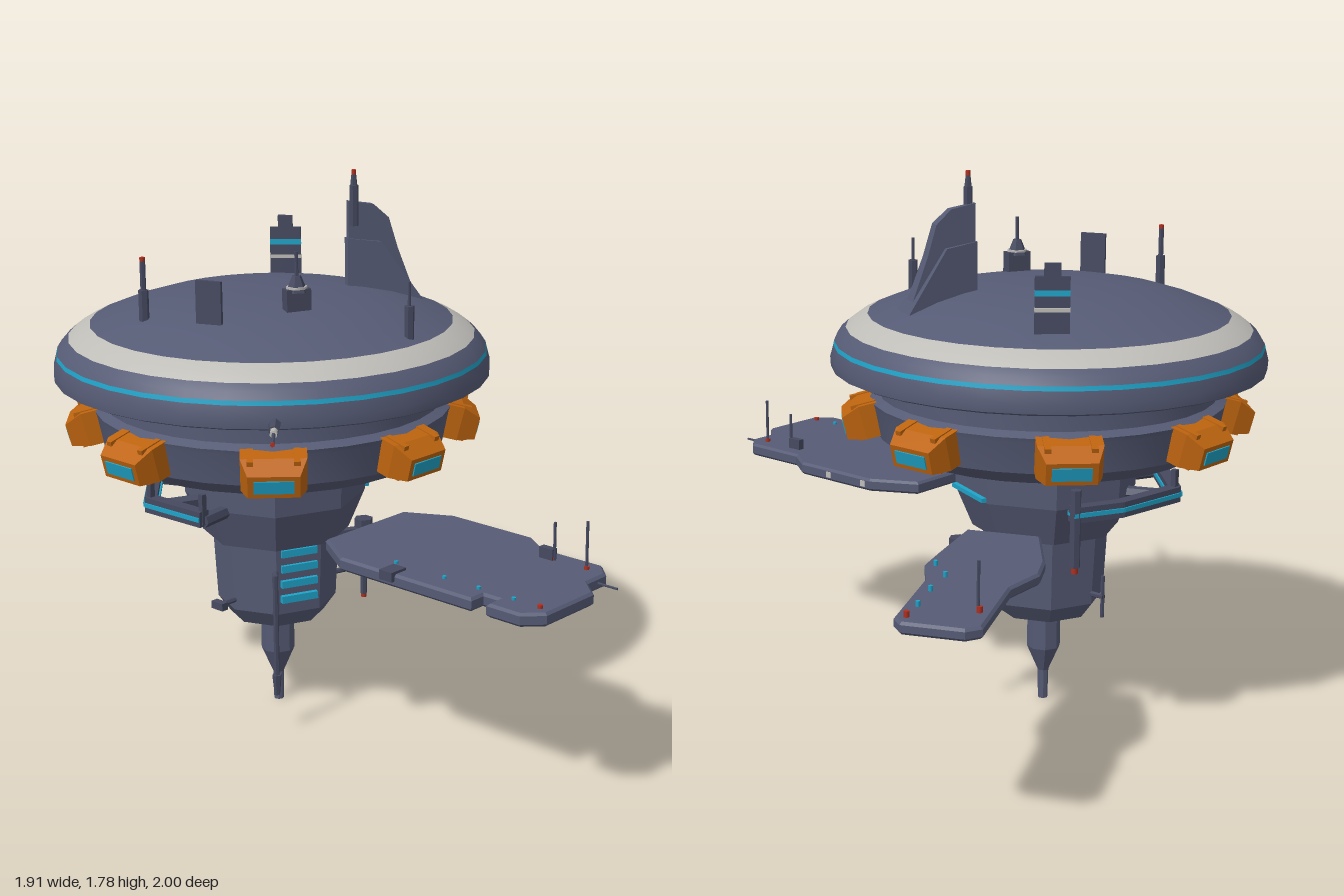
import * as THREE from 'three';
import { toCreasedNormals } from 'three/addons/utils/BufferGeometryUtils.js';

const mat = (color, flat = false) => new THREE.MeshStandardMaterial({ color, flatShading: flat, side: THREE.DoubleSide });
const hull = mat(0x565b75), facet = mat(0x565b75, true), dark = mat(0x464a60, true);
const white = mat(0xbfbdb8), orange = mat(0xbd640f, true), cyan = mat(0x1fa3c8), red = mat(0xb03020);
const CX = -0.26, CZ = -0.3; // station axis

export function createModel() {
  const root = new THREE.Group();
  const add = (name, geo, material, parent = root) => {
    const m = new THREE.Mesh(geo, material);
    m.name = name;
    parent.add(m);
    return m;
  };
  const box = (name, material, [w, h, d], [x, y, z], ry = 0, parent = root) => {
    const m = add(name, new THREE.BoxGeometry(w, h, d), material, parent);
    m.position.set(x, y, z);
    m.rotation.y = ry;
    return m;
  };
  // straight bar between two points
  const bar = (name, material, a, b, r0, r1 = r0, sides = 6) => {
    const p = new THREE.Vector3(...a), q = new THREE.Vector3(...b);
    const m = add(name, new THREE.CylinderGeometry(r1, r0, p.distanceTo(q), sides), material);
    m.position.copy(p).add(q).multiplyScalar(0.5);
    m.quaternion.setFromUnitVectors(new THREE.Vector3(0, 1, 0), q.sub(p).normalize());
    return m;
  };
  const rod = (name, material, x, z, y0, y1, r0, r1 = r0) => bar(name, material, [x, y0, z], [x, y1, z], r0, r1);
  // turned part on the station axis, profile listed bottom to top
  const turned = (name, profile, material, sides, crease = 0.5) => {
    const geo = new THREE.LatheGeometry(profile.map(p => new THREE.Vector2(...p)), sides);
    const m = add(name, toCreasedNormals(geo, crease), material);
    m.position.set(CX, 0, CZ);
    return m;
  };

  // saucer
  turned('saucerRim', [[0.545, 1.13], [0.68, 1.142], [0.698, 1.15], [0.7, 1.18], [0.69, 1.218]], hull, 32);
  turned('lightStripe', [[0.69, 1.218], [0.687, 1.232]], cyan, 32);
  turned('saucerShoulder', [[0.687, 1.232], [0.672, 1.255], [0.65, 1.275]], hull, 32);
  turned('paleBand', [[0.65, 1.275], [0.62, 1.298], [0.58, 1.318]], white, 32);
  turned('dome', [[0.58, 1.318], [0.5, 1.35], [0.4, 1.381], [0.3, 1.401], [0.18, 1.415], [0, 1.42]], hull, 32);
  turned('neck', [[0.545, 1.05], [0.545, 1.115], [0.56, 1.135]], hull, 32);
  turned('podRing', [[0, 0.885], [0.49, 0.885], [0.55, 0.93], [0.57, 1.03], [0.575, 1.045], [0.545, 1.06]], hull, 32);

  // octagonal core and spike
  turned('upperCore', [[0, 0.61], [0.24, 0.61], [0.295, 0.74], [0.3, 0.83], [0.28, 0.89]], facet, 8, 0.1);
  turned('lowerCore', [[0, 0.32], [0.155, 0.32], [0.195, 0.375], [0.207, 0.61]], facet, 8, 0.1);
  turned('spike', [[0, 0], [0.016, 0], [0.018, 0.1], [0.055, 0.185], [0.055, 0.33]], facet, 8, 0.1);

  // eight window pods round the ring
  for (let i = 0; i < 8; i++) {
    const pod = new THREE.Group();
    pod.name = 'windowPod';
    pod.rotation.y = i * Math.PI / 4;
    pod.position.set(CX + 0.6 * Math.sin(pod.rotation.y), 0.982, CZ + 0.6 * Math.cos(pod.rotation.y));
    root.add(pod);
    const tilt = new THREE.Group();
    tilt.rotation.x = 0.25;
    pod.add(tilt);
    const geo = new THREE.BoxGeometry(0.2, 0.11, 0.12, 1, 1, 2);
    const p = geo.attributes.position;
    for (let j = 0; j < p.count; j++) if (p.getZ(j) > 0.05) p.setXY(j, p.getX(j) * 0.78, p.getY(j) * 0.66 - 0.008);
    add('podShell', geo, orange, tilt);
    box('podWindow', cyan, [0.12, 0.042, 0.01], [0, -0.008, 0.059], 0, tilt);
    for (const s of [-1, 1]) box('podRib', orange, [0.02, 0.117, 0.08], [s * 0.07, 0, -0.015], 0, tilt);
  }

  // lit slots and facet light on the core
  const onFacet = (name, angle, dist, y, size) =>
    box(name, cyan, size, [CX + dist * Math.sin(angle), y, CZ + dist * Math.cos(angle)], angle);
  for (let i = 0; i < 4; i++) onFacet('coreSlot', -Math.PI / 8, 0.19, 0.43 + i * 0.052, [0.125, 0.024, 0.02]);
  onFacet('coreLight', Math.PI * 3 / 8, 0.275, 0.75, [0.21, 0.014, 0.03]);

  // walkway with light strip round the back right of the core
  const way = [[0.23, -0.29], [0.08, -0.36], [-0.17, -0.39], [-0.39, -0.17], [-0.38, 0.06]];
  for (let i = 0; i < way.length - 1; i++) {
    const [ax, az] = way[i], [bx, bz] = way[i + 1];
    const ry = Math.atan2(az - bz, bx - ax), len = Math.hypot(bx - ax, bz - az) + 0.012;
    const at = [CX + (ax + bx) / 2, 0.75, CZ + (az + bz) / 2];
    box('walkway', dark, [len, 0.05, 0.04], at, ry);
    box('walkwayLight', cyan, [len, 0.014, 0.05], at, ry);
  }
  for (const [x, z] of [way[2], way[3], way[4]]) {
    box('walkwayPost', dark, [0.018, 0.1, 0.018], [CX + x, 0.78, CZ + z]);
    bar('walkwayStrut', dark, [CX + x * 0.6, 0.74, CZ + z * 0.6], [CX + x, 0.74, CZ + z], 0.022);
  }
  rod('hangingSensor', dark, 0 - 0.03, -0.6, 0.58, 0.83, 0.018);
  rod('sensorTip', red, -0.03, -0.6, 0.56, 0.58, 0.012);

  // landing pads: outline given as [x, z]
  const pad = (name, pts, y, h, material) => {
    const shape = new THREE.Shape(pts.map(([x, z]) => new THREE.Vector2(x, -z)));
    const b = 0.008;
    const geo = new THREE.ExtrudeGeometry(shape, { depth: h - 2 * b, bevelThickness: b, bevelSize: b, bevelOffset: -b, bevelSegments: 1 });
    geo.rotateX(-Math.PI / 2).translate(0, y + b, 0);
    return add(name, geo, material);
  };
  pad('frontPad', [[-0.44, 0.1], [-0.535, 0.25], [-0.535, 0.765], [-0.48, 0.765], [-0.48, 0.82], [-0.535, 0.82], [-0.535, 0.94],
    [-0.48, 0.995], [-0.26, 0.995], [-0.2, 0.93], [-0.11, 0.93], [-0.06, 0.88], [-0.06, 0.66], [0, 0.57], [0, 0.25], [-0.08, 0.1]], 0.668, 0.042, facet);
  pad('frontPadKeel', [[-0.46, 0.29], [-0.46, 0.71], [-0.13, 0.71], [-0.07, 0.55], [-0.07, 0.29]], 0.645, 0.035, dark);
  pad('rearPad', [[0.09, -0.56], [0.275, -0.725], [0.375, -0.785], [0.525, -0.8], [0.825, -0.95], [0.875, -0.93], [0.95, -0.76],
    [0.925, -0.715], [0.62, -0.56], [0.525, -0.47], [0.425, -0.43], [0.185, -0.34]], 0.665, 0.037, facet);
  pad('rearPadKeel', [[0.25, -0.6], [0.38, -0.72], [0.55, -0.74], [0.8, -0.86], [0.86, -0.77], [0.58, -0.61], [0.46, -0.5], [0.3, -0.47]], 0.648, 0.03, dark);
  const lamps = [[-0.46, 0.41], [-0.46, 0.6], [-0.46, 0.73], [-0.46, 0.86], [0.52, -0.51], [0.58, -0.6], [0.7, -0.65], [0.82, -0.71]];
  for (const [x, z] of lamps) rod('padLamp', cyan, x, z, 0.695, 0.718, 0.007);
  for (const [x, z] of [[-0.46, 0.955], [-0.12, 0.74], [-0.12, 0.865], [0.905, -0.745], [0.745, -0.87]])
    rod('padBeacon', red, x, z, 0.695, 0.72, 0.009);
  rod('padMast', dark, -0.12, 0.865, 0.7, 0.86, 0.005);
  rod('padMast', dark, -0.12, 0.745, 0.7, 0.83, 0.005);
  rod('padMast', dark, 0.745, -0.865, 0.69, 0.85, 0.005);
  box('padLocker', dark, [0.022, 0.04, 0.05], [-0.12, 0.725, 0.72]);
  box('padHatch', dark, [0.065, 0.03, 0.05], [-0.515, 0.703, 0.445]);
  bar('padProbe', dark, [-0.15, 0.69, 0.9], [-0.15, 0.69, 1], 0.004);
  for (const z of [0.28, 0.44]) box('padStripe', white, [0.006, 0.02, 0.02], [0, 0.69, z]);

  // dome fin: side profile, its thickness growing outward and downward
  const fin = new THREE.Group();
  fin.name = 'domeFin';
  fin.position.set(-0.025, 0, -0.18);
  fin.rotation.y = -0.46;
  root.add(fin);
  const blade = (name, pts, width) => {
    const geo = new THREE.ExtrudeGeometry(new THREE.Shape(pts.map(p => new THREE.Vector2(...p))), { depth: 1, bevelEnabled: false });
    const p = geo.attributes.position;
    for (let i = 0; i < p.count; i++) p.setZ(i, (p.getZ(i) - 0.5) * width(p.getX(i), p.getY(i)));
    geo.computeVertexNormals();
    add(name, geo, facet, fin);
  };
  blade('finBlade', [[-0.005, 1.36], [-0.005, 1.68], [0.08, 1.665], [0.13, 1.62], [0.16, 1.52], [0.22, 1.36]], (x) => 0.02 + x * 0.13);
  blade('finRoot', [[-0.01, 1.36], [-0.01, 1.56], [0.1, 1.545], [0.235, 1.35]], (x) => 0.032 + x * 0.33);
  rod('finMast', dark, -0.018, -0.165, 1.6, 1.73, 0.015);
  rod('finMast', dark, -0.018, -0.165, 1.73, 1.765, 0.012, 0.008);
  rod('finBeacon', red, -0.018, -0.165, 1.765, 1.78, 0.008);

  // dome aerials and plates
  rod('aerialBase', dark, -0.685, -0.43, 1.34, 1.46, 0.016);
  rod('aerial', dark, -0.685, -0.43, 1.46, 1.55, 0.009);
  rod('aerialBeacon', red, -0.685, -0.43, 1.55, 1.562, 0.009);
  rod('aerialBase', dark, -0.207, 0.238, 1.32, 1.43, 0.016);
  rod('aerial', dark, -0.207, 0.238, 1.43, 1.505, 0.005);
  box('turretBase', dark, [0.08, 0.07, 0.04], [-0.388, 1.435, -0.062], -0.4);
  rod('turretCone', dark, -0.388, -0.062, 1.46, 1.51, 0.035, 0.014);
  rod('turretCollar', white, -0.388, -0.062, 1.47, 1.477, 0.034);
  rod('turretMast', dark, -0.388, -0.062, 1.5, 1.585, 0.006);
  box('domePlate', dark, [0.012, 0.17, 0.085], [-0.635, 1.43, -0.19], 0.35);
  box('rearPlate', dark, [0.015, 0.21, 0.105], [0.122, 1.415, -0.615], 0.72);
  box('rearPlateTop', dark, [0.015, 0.05, 0.05], [0.122, 1.535, -0.615], 0.72);
  box('rearPlateLight', cyan, [0.019, 0.018, 0.106], [0.122, 1.47, -0.615], 0.72);
  box('rearPlateStripe', white, [0.019, 0.012, 0.106], [0.122, 1.42, -0.615], 0.72);

  // rim probe
  bar('probeBase', dark, [-0.71, 1.165, 0.16], [-0.8, 1.165, 0.245], 0.022, 0.016);
  bar('probeRod', white, [-0.8, 1.165, 0.245], [-0.825, 1.165, 0.268], 0.012);
  bar('probeRod', dark, [-0.82, 1.165, 0.264], [-0.895, 1.165, 0.335], 0.006);
  bar('probeTip', red, [-0.895, 1.165, 0.335], [-0.9, 1.165, 0.34], 0.007);

  // hanging rods and bent arms round the lower core
  rod('longRod', dark, -0.455, -0.11, 0.18, 0.54, 0.009);
  rod('longRodTip', dark, -0.455, -0.11, 0.13, 0.2, 0.009, 0.016);
  for (const y of [0.41, 0.52]) bar('longRodArm', dark, [CX, y, CZ], [-0.455, y, -0.11], 0.011);
  rod('thrusterBody', dark, 0.023, -0.168, 0.47, 0.6, 0.032);
  rod('thrusterRod', dark, 0.023, -0.168, 0.33, 0.48, 0.011);
  rod('thrusterTip', red, 0.023, -0.168, 0.318, 0.332, 0.01);
  for (const y of [0.5, 0.56]) bar('thrusterArm', dark, [CX, y, CZ], [0.023, y, -0.168], 0.014);
  bar('rearArm', dark, [CX, 0.41, CZ], [CX, 0.41, -0.545], 0.009);
  rod('rearArmRod', dark, CX, -0.54, 0.34, 0.48, 0.007);
  bar('sideArm', dark, [CX, 0.41, CZ], [-0.53, 0.41, CZ], 0.009);
  box('sideArmEnd', dark, [0.025, 0.025, 0.05], [-0.522, 0.41, CZ]);
  bar('leftArm', dark, [CX, 0.41, CZ], [0.015, 0.41, -0.22], 0.009);
  return root;
}
